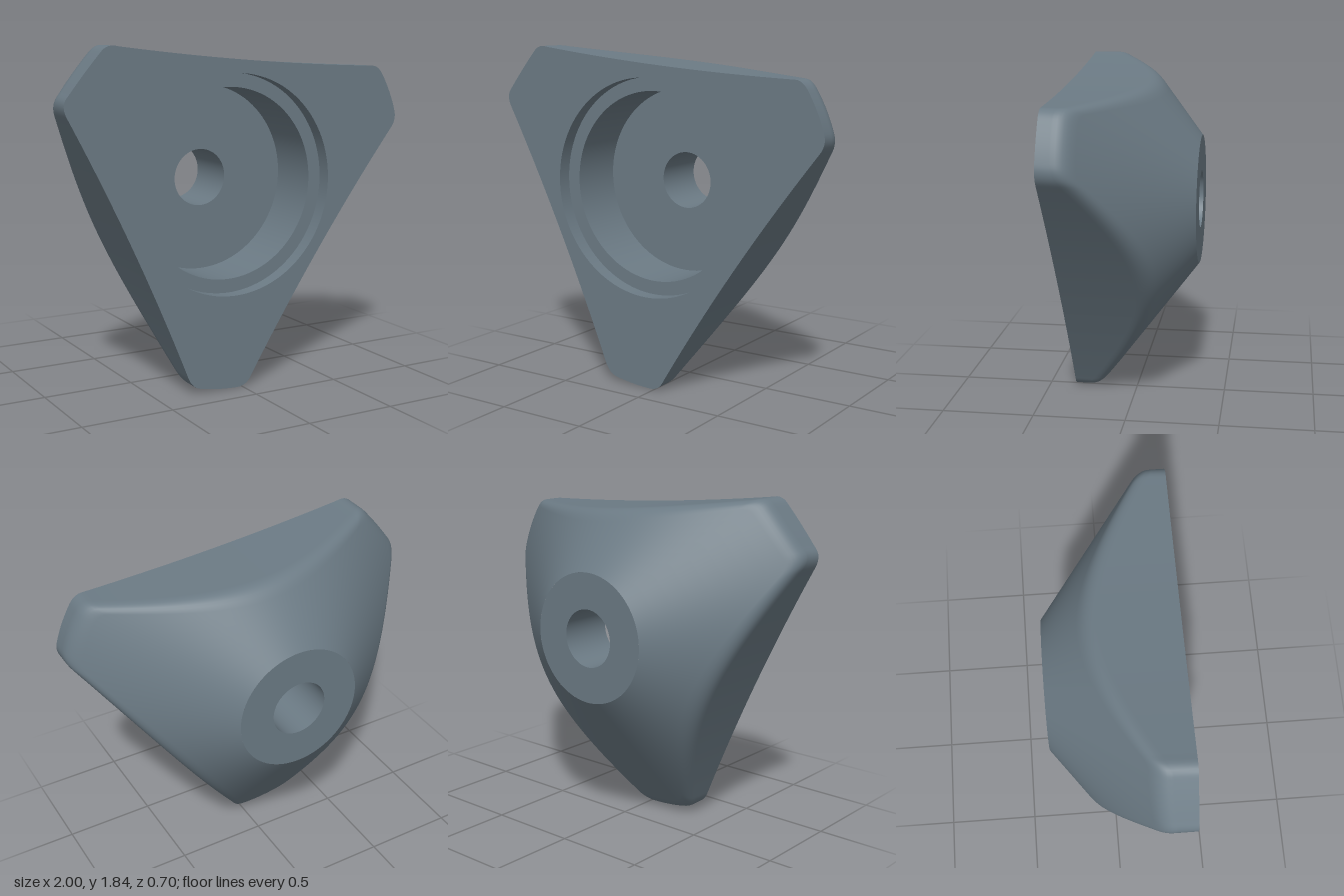
import * as THREE from 'three';

const CX = -0.045, CY = 1.1;          // axis of the bore
const FRONT = 0.35, BACK = -0.35;     // z of the flat faces
const R_BACK = 0.353, SLOPE = 0.76;   // back disc radius and cone slope

// Three-armed outline, given as a run of quadratic curves [control, end]
function outlinePoints() {
  const s = new THREE.Shape();
  s.moveTo(-0.985, 1.5);
  [
    [-1.015, 1.56, -0.975, 1.6], [-0.89, 1.71, -0.8, 1.81],     // straight-cut arm end
    [-0.765, 1.85, -0.71, 1.835], [0.06, 1.735, 0.83, 1.71],    // top side
    [0.87, 1.71, 0.9, 1.665], [0.967, 1.555, 0.995, 1.45],      // right arm end
    [1.005, 1.405, 0.975, 1.365], [0.473, 0.735, 0.055, 0.05],  // right side
    [0.03, 0.0, -0.03, 0.0], [-0.15, 0.003, -0.255, 0.027],     // bottom arm end
    [-0.305, 0.037, -0.33, 0.1], [-0.62, 0.825, -0.985, 1.5],   // left side
  ].forEach(q => s.quadraticCurveTo(...q));
  const pts = s.getSpacedPoints(360);
  pts.pop();
  return pts.reverse(); // counter-clockwise seen from the front
}

// Section from the back disc along the cone, over a soft edge, down the side wall
function section(R) {
  const f = 0.055, zEdge = BACK + SLOPE * (R - R_BACK);
  const cone = r => BACK + SLOPE * (r - R_BACK);
  const out = [];
  for (let k = 0; k <= 8; k++) {
    const r = THREE.MathUtils.lerp(R_BACK, R - f - 0.01, k / 8);
    out.push([r, cone(r)]);
  }
  const edge = new THREE.QuadraticBezierCurve(
    new THREE.Vector2(R - f, cone(R - f)),
    new THREE.Vector2(R, zEdge),
    new THREE.Vector2(R, zEdge + f));
  edge.getPoints(6).forEach(p => out.push([p.x, p.y]));
  out.push([R, zEdge + f + 0.01], [R, FRONT]);
  return out;
}

function shellGeometry(pts) {
  const pos = [], idx = [], n = pts.length;
  let m = 0;
  pts.forEach((p, i) => {
    const dx = p.x - CX, dy = p.y - CY, R = Math.hypot(dx, dy);
    const sec = section(R);
    m = sec.length;
    const a = i * m, b = ((i + 1) % n) * m;
    sec.forEach(([r, z], j) => {
      pos.push(CX + dx / R * r, CY + dy / R * r, z);
      if (j < m - 1) idx.push(a + j, b + j, b + j + 1, a + j, b + j + 1, a + j + 1);
    });
  });
  const g = new THREE.BufferGeometry();
  g.setAttribute('position', new THREE.Float32BufferAttribute(pos, 3));
  g.setIndex(idx);
  g.computeVertexNormals();
  return g;
}

export function createModel() {
  const group = new THREE.Group();
  group.name = 'threeArmedKnob';
  const mat = new THREE.MeshStandardMaterial({ color: 0x6b7a84 });
  const add = (name, geo) => {
    const mesh = new THREE.Mesh(geo, mat);
    mesh.name = name;
    group.add(mesh);
  };

  // Conical back with rounded edge and side walls
  const pts = outlinePoints();
  add('outerShell', shellGeometry(pts));

  // Flat front face around the recess
  const face = new THREE.Shape(pts);
  face.holes.push(new THREE.Path().absarc(CX, CY, 0.59, 0, Math.PI * 2, true));
  add('frontFace', new THREE.ShapeGeometry(face, 48).translate(0, 0, FRONT));

  // Stepped recess, through hole and back disc, one sharp-edged band each
  const profile = [[0.59, FRONT], [0.59, 0.27], [0.515, 0.27], [0.515, -0.04],
    [0.157, -0.04], [0.157, BACK], [R_BACK, BACK]];
  const names = ['recessRim', 'recessStep', 'recessWall', 'recessFloor', 'throughHole', 'backDisc'];
  names.forEach((name, i) => {
    const band = [profile[i], profile[i + 1]].map(p => new THREE.Vector2(...p));
    add(name, new THREE.LatheGeometry(band, 96).rotateX(Math.PI / 2).translate(CX, CY, 0));
  });
  return group;
}
